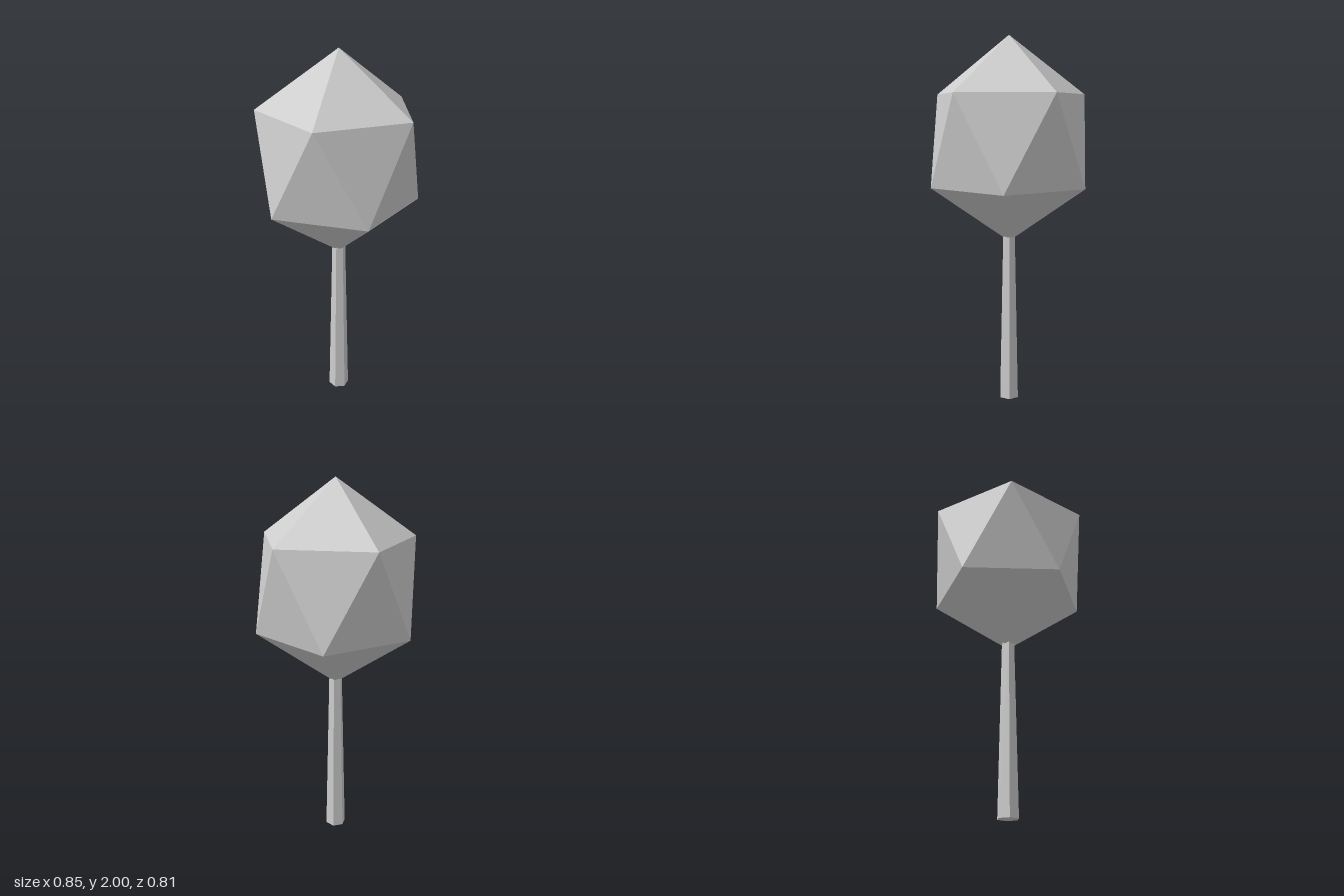
import * as THREE from 'three';

export function createModel() {
  const group = new THREE.Group();
  const grey = new THREE.MeshStandardMaterial({ color: 0xcccccc, flatShading: true });
  grey.name = 'light grey';

  // Crown: icosahedron turned to stand on one vertex, then stretched upward
  const phi = (1 + Math.sqrt(5)) / 2;
  const crownGeometry = new THREE.IcosahedronGeometry(1, 0)
    .rotateX(-Math.atan(phi))
    .rotateY(Math.PI / 2)
    .scale(0.477, 0.55, 0.477);
  const crown = new THREE.Mesh(crownGeometry, grey);
  crown.name = 'crown';
  crown.position.y = 1.45;
  group.add(crown);

  // Trunk: tapered six-sided post, its top tucked into the crown
  const trunkHeight = 0.98;
  const trunk = new THREE.Mesh(
    new THREE.CylinderGeometry(0.035, 0.057, trunkHeight, 6), grey);
  trunk.name = 'trunk';
  trunk.position.y = trunkHeight / 2;
  group.add(trunk);

  return group;
}
